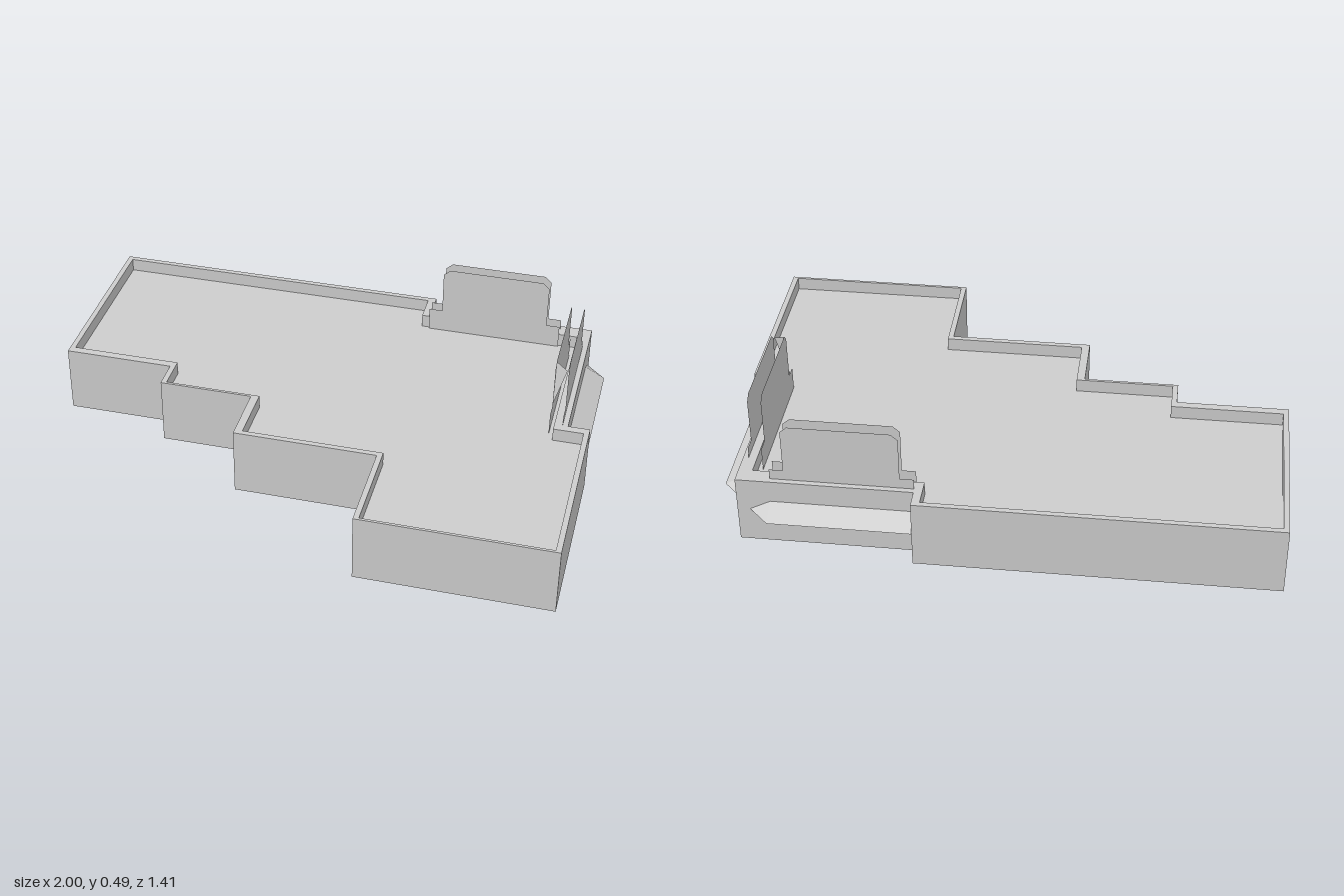
import * as THREE from 'three';

const H = 0.26, DECK = 0.21;

// Footprints as [x, z]
const OUTER = [[-1, 0], [-0.59, 0], [-0.59, 0.11], [-0.24, 0.11], [-0.24, 0.34], [0.29, 0.34], [0.29, 0.7],
  [1, 0.7], [1, 0], [0.92, 0], [0.92, -0.64], [0.29, -0.64], [0.29, -0.71], [-1, -0.71]];
const INNER = [[-0.98, -0.03], [-0.57, -0.03], [-0.57, 0.1], [-0.21, 0.1], [-0.21, 0.32], [0.31, 0.32], [0.31, 0.69],
  [0.98, 0.69], [0.98, 0.03], [0.87, 0.03], [0.87, -0.58], [0.26, -0.58], [0.26, -0.69], [-0.98, -0.69]];

// Flat-shaded faces from convex polygons of [x, y, z]
function polygons(faces) {
  const pos = [];
  for (const f of faces) {
    for (let i = 1; i < f.length - 1; i++) pos.push(...f[0], ...f[i], ...f[i + 1]);
  }
  const g = new THREE.BufferGeometry();
  g.setAttribute('position', new THREE.Float32BufferAttribute(pos, 3));
  g.computeVertexNormals();
  return g;
}

// Vertical band following a closed footprint
function ribbon(points, y0, y1) {
  return polygons(points.map(([x, z], i) => {
    const [x2, z2] = points[(i + 1) % points.length];
    return [[x, y0, z], [x2, y0, z2], [x2, y1, z2], [x, y1, z]];
  }));
}

// Horizontal sheet facing up
function sheet(points, y, hole) {
  const toPlane = (p) => p.map(([x, z]) => new THREE.Vector2(x, -z));
  const shape = new THREE.Shape(toPlane(points));
  if (hole) shape.holes.push(new THREE.Path(toPlane(hole)));
  return new THREE.ShapeGeometry(shape).rotateX(-Math.PI / 2).translate(0, y, 0);
}

export function createModel() {
  const model = new THREE.Group();
  const grey = new THREE.MeshStandardMaterial({ color: 0xcccccc, side: THREE.DoubleSide });
  grey.name = 'light grey';
  const add = (name, geometry) => {
    const mesh = new THREE.Mesh(geometry, grey);
    mesh.name = name;
    model.add(mesh);
  };

  // Open-bottomed building shell with sunken roof
  add('outerWalls', ribbon(OUTER, 0, H));
  add('parapetTop', sheet(OUTER, H, INNER));
  add('parapetInside', ribbon([...INNER].reverse(), DECK, H));
  add('roofDeck', sheet(INNER, DECK));

  // The two recessed sides: u runs along the wall, d points outward from it
  const sides = {
    back: (u, y, d) => [0.29 + u, y, -0.64 - d],
    right: (u, y, d) => [0.92 + d, y, -u],
  };
  for (const [side, at] of Object.entries(sides)) {
    // Hipped awning
    const ridgeA = at(0, 0.175, 0), ridgeB = at(0.51, 0.175, 0);
    const eaveA = at(0, 0.135, 0.075), eaveB = at(0.51, 0.135, 0.075);
    const footA = at(0, 0.135, 0), footB = at(0.585, 0.135, 0);
    add(side + 'Awning', polygons([
      [ridgeA, eaveA, eaveB, ridgeB], [ridgeB, eaveB, footB],
      [footA, footB, eaveB, eaveA], [ridgeA, footA, eaveA],
    ]));

    // Sign board: two thin stepped panels with clipped corners
    for (const [name, d, base] of [['SignOuter', -0.02, H], ['SignInner', -0.068, DECK]]) {
      const shape = new THREE.Shape([[0, base], [0.51, base], [0.51, 0.3], [0.46, 0.3], [0.46, 0.465], [0.435, 0.487],
        [0.075, 0.487], [0.05, 0.465], [0.05, 0.3], [0, 0.3]].map(([u, y]) => new THREE.Vector2(u, y)));
      const g = new THREE.ShapeGeometry(shape);
      const p = g.attributes.position;
      for (let i = 0; i < p.count; i++) p.setXYZ(i, ...at(p.getX(i), p.getY(i), d));
      g.computeVertexNormals();
      add(side + name, g);
    }
  }

  // Slim end brace on the right sign
  add('signBrace', polygons([[sides.right(0.07, 0.485, -0.068), sides.right(0.05, 0.465, -0.025), sides.right(0.05, 0.31, -0.068)]]));

  return model;
}
